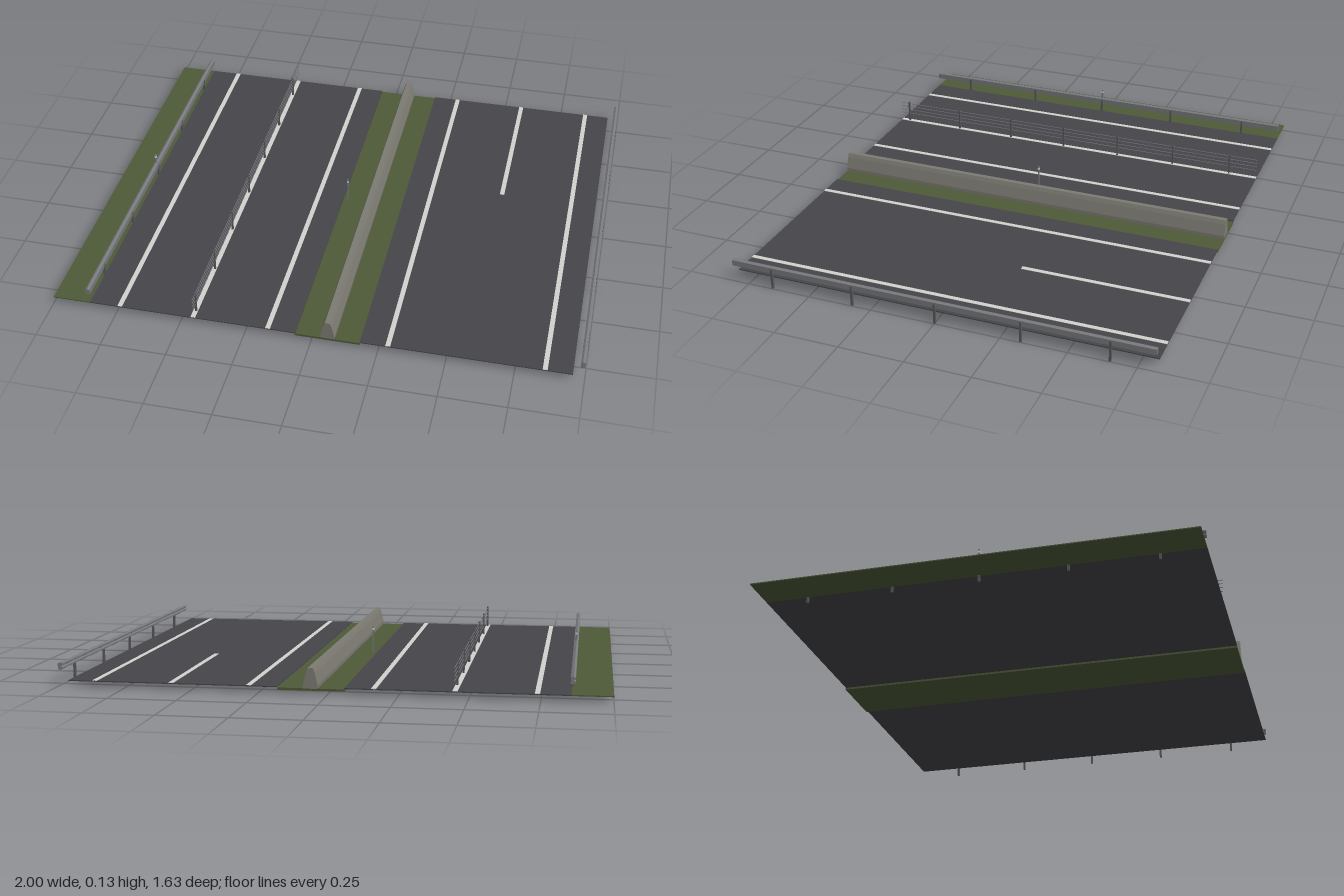
import * as THREE from 'three';

const LEN = 1.63; // length of the road section along z

const mat = (name, color, side = THREE.FrontSide) => {
  const m = new THREE.MeshStandardMaterial({ color, side });
  m.name = name;
  return m;
};

export function createModel() {
  const asphalt = mat('asphalt', 0x46454a);
  const grass = mat('grass', 0x4d5a37);
  const paint = mat('linePaint', 0xd2d2cd);
  const concrete = mat('concrete', 0x7d7b73);
  const steel = mat('galvanisedSteel', 0x77797c);
  const darkSteel = mat('postSteel', 0x55585a);

  const root = new THREE.Group();
  root.name = 'motorwaySection';

  // box given by its x, y and z ranges
  const box = (name, m, [x0, x1], [y0, y1], [z0, z1] = [-LEN / 2, LEN / 2], parent = root) => {
    const mesh = new THREE.Mesh(new THREE.BoxGeometry(x1 - x0, y1 - y0, z1 - z0), m);
    mesh.position.set((x0 + x1) / 2, (y0 + y1) / 2, (z0 + z1) / 2);
    mesh.name = name;
    parent.add(mesh);
    return mesh;
  };

  // constant x-y profile swept along the whole length
  const sweep = (name, m, points, parent = root) => {
    const shape = new THREE.Shape(points.map(([x, y]) => new THREE.Vector2(x, y)));
    const geo = new THREE.ExtrudeGeometry(shape, { depth: LEN, bevelEnabled: false });
    geo.translate(0, 0, -LEN / 2);
    const mesh = new THREE.Mesh(geo, m);
    mesh.name = name;
    parent.add(mesh);
    return mesh;
  };

  // ground surfaces
  box('verge', grass, [-1, -0.855], [0.022, 0.026]);
  box('leftCarriageway', asphalt, [-0.855, -0.06], [0.022, 0.026]);
  box('median', grass, [-0.062, 0.182], [0.013, 0.021]);
  box('rightCarriageway', asphalt, [0.182, 0.957], [0.022, 0.026]);

  // lane markings: centre x and optional z range
  const lines = [[-0.738], [-0.452], [-0.165], [0.286], [0.573, [-LEN / 2, -0.165]], [0.858]];
  for (const [x, z] of lines) box('laneLine', paint, [x - 0.009, x + 0.009], [0.025, 0.0275], z);

  // concrete median barrier
  sweep('medianBarrier', concrete, [
    [0.035, 0.02], [0.088, 0.02], [0.088, 0.034], [0.077, 0.079],
    [0.071, 0.095], [0.052, 0.095], [0.046, 0.079], [0.035, 0.034],
  ]);

  // corrugated guard rails on posts
  const guardRail = (name, cx) => {
    const g = new THREE.Group();
    g.name = name;
    sweep('railBeam', steel, [
      [cx - 0.002, 0.062], [cx + 0.008, 0.064], [cx + 0.008, 0.086], [cx - 0.002, 0.09],
      [cx - 0.009, 0.086], [cx - 0.009, 0.08], [cx - 0.003, 0.076], [cx - 0.009, 0.072],
      [cx - 0.009, 0.066],
    ], g);
    for (let i = -2; i <= 2; i++) {
      const z = i * 0.326;
      box('railPost', darkSteel, [cx, cx + 0.009], [0, 0.08], [z - 0.004, z + 0.004], g);
    }
    root.add(g);
  };
  guardRail('leftGuardRail', -0.859);
  guardRail('rightGuardRail', 0.989);

  // wire rope fence between the lanes
  const fence = new THREE.Group();
  fence.name = 'wireFence';
  for (let i = -3; i <= 3; i++) {
    const z = 0.04 + i * 0.246;
    box('fencePost', darkSteel, [-0.454, -0.446], [0.024, 0.116], [z - 0.003, z + 0.003], fence);
  }
  for (const y of [0.062, 0.078, 0.094, 0.109]) {
    const wire = new THREE.Mesh(new THREE.CylinderGeometry(0.0016, 0.0016, LEN, 6), steel);
    wire.rotation.x = Math.PI / 2;
    wire.position.set(-0.45, y, 0);
    wire.name = 'fenceWire';
    fence.add(wire);
  }
  root.add(fence);

  // slim marker posts
  for (const x of [-0.86, -0.04]) {
    box('markerPost', steel, [x - 0.003, x + 0.003], [0.02, 0.128], [-0.003, 0.003]);
    box('markerBand', paint, [x - 0.0036, x + 0.0036], [0.114, 0.122], [-0.0036, 0.0036]);
  }

  return root;
}
